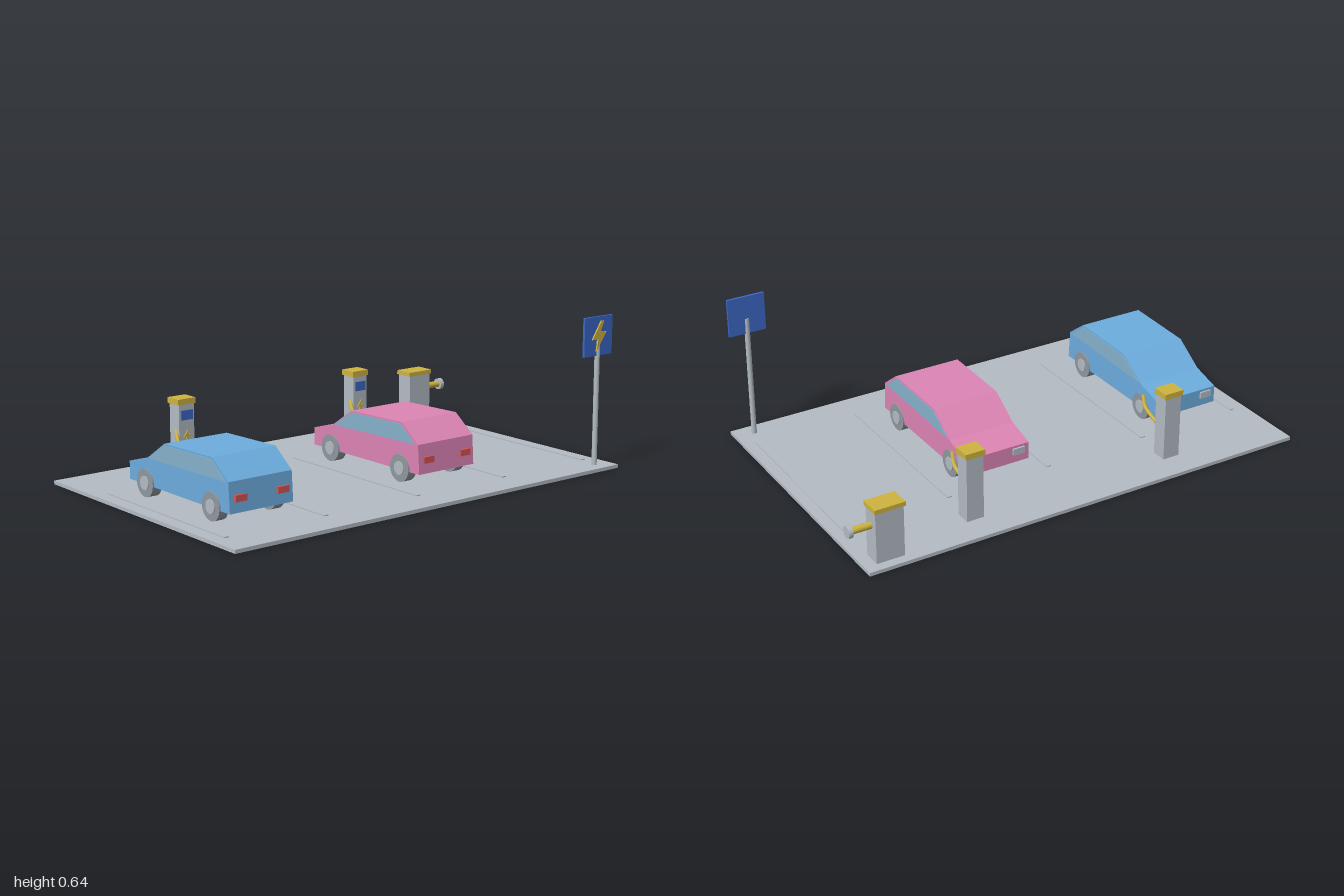
import * as THREE from 'three';

const mat = (name, color) => {
  const m = new THREE.MeshStandardMaterial({ color });
  m.name = name;
  return m;
};

export function createModel() {
  const grey = mat('light grey', 0xb3bbc3);
  const tyreGrey = mat('tyre grey', 0x8f989f);
  const yellow = mat('yellow', 0xcdb340);
  const blue = mat('sign blue', 0x3c67c6);
  const carBlue = mat('car blue', 0x6cacde);
  const carPink = mat('car pink', 0xdc84b4);
  const glass = mat('window blue', 0x86b2cc);
  const red = mat('tail light red', 0xd45555);

  const root = new THREE.Group();
  root.name = 'chargingStation';

  const add = (parent, name, geo, material, x = 0, y = 0, z = 0) => {
    const mesh = new THREE.Mesh(geo, material);
    mesh.name = name;
    mesh.position.set(x, y, z);
    parent.add(mesh);
    return mesh;
  };
  // box given by its limits on each axis
  const box = (parent, name, m, x0, x1, y0, y1, z0, z1) =>
    add(parent, name, new THREE.BoxGeometry(x1 - x0, y1 - y0, z1 - z0), m,
      (x0 + x1) / 2, (y0 + y1) / 2, (z0 + z1) / 2);
  // cylinder lying along x
  const rod = (parent, name, m, r, x0, x1, y, z) =>
    add(parent, name, new THREE.CylinderGeometry(r, r, x1 - x0, 32).rotateZ(Math.PI / 2), m, (x0 + x1) / 2, y, z);
  const shapeOf = pts => new THREE.Shape(pts.map(p => new THREE.Vector2(...p)));
  // side profile of (z, y) points, extruded across x and centred
  const across = (pts, width) =>
    new THREE.ExtrudeGeometry(shapeOf(pts), { depth: width, bevelEnabled: false })
      .rotateY(-Math.PI / 2).translate(width / 2, 0, 0);
  // lightning bolt plate, centred, facing +z
  const bolt = (w, h, depth) =>
    new THREE.ExtrudeGeometry(shapeOf([
      [0.12, 0.5], [-0.5, -0.1], [-0.08, -0.1], [-0.2, -0.5], [0.5, 0.13], [0.06, 0.13], [0.32, 0.5],
    ].map(([x, y]) => [x * w, y * h])), { depth, bevelEnabled: false });

  // ground slab with raised bay lines
  const ground = 0.015;
  box(root, 'groundSlab', grey, -1, 0.95, 0, ground, -0.62, 0.617);
  for (let i = 0; i < 5; i++) {
    const x = -0.935 + i * 0.457;
    box(root, 'bayLine', grey, x - 0.01, x + 0.01, ground, 0.019, -0.31, 0.475);
  }

  // car: rear faces +z
  const bodyProfile = [
    [0.385, 0.067], [0.377, 0.187], [0.277, 0.262], [-0.037, 0.254],
    [-0.163, 0.172], [-0.284, 0.14], [-0.284, 0.067],
  ];
  const windowProfile = [[0.36, 0.186], [0.27, 0.255], [-0.037, 0.247], [-0.148, 0.176]];
  const makeCar = (x, paint) => {
    const car = new THREE.Group();
    car.name = 'car';
    car.position.x = x;
    root.add(car);
    add(car, 'body', across(bodyProfile, 0.29), paint);
    for (const s of [-1, 1]) {
      add(car, 'sideWindow', across(windowProfile, 0.004), glass, s * 0.1455);
      box(car, 'tailLight', red, s * 0.097 - 0.026, s * 0.097 + 0.026, 0.11, 0.136, 0.375, 0.392);
      box(car, 'headLight', grey, s * 0.097 - 0.026, s * 0.097 + 0.026, 0.102, 0.13, -0.292, -0.28);
      for (const z of [0.271, -0.17]) {
        rod(car, 'tyre', tyreGrey, 0.056, s * 0.13 - 0.021, s * 0.13 + 0.021, 0.074, z);
        rod(car, 'hub', grey, 0.028, s * 0.151 - 0.004, s * 0.151 + 0.004, 0.074, z);
      }
    }
  };

  // charger with screen, bolt, cap and hose
  const makeCharger = x => {
    const charger = new THREE.Group();
    charger.name = 'charger';
    charger.position.x = x;
    root.add(charger);
    box(charger, 'post', grey, -0.037, 0.037, ground, 0.288, -0.501, -0.435);
    box(charger, 'cap', yellow, -0.043, 0.043, 0.288, 0.312, -0.506, -0.432);
    box(charger, 'screen', blue, -0.028, 0.028, 0.224, 0.264, -0.436, -0.43);
    add(charger, 'bolt', bolt(0.034, 0.05, 0.004), yellow, 0, 0.157, -0.435);
    const path = new THREE.CatmullRomCurve3([
      [-0.034, 0.18, -0.462], [-0.046, 0.147, -0.433], [-0.058, 0.085, -0.38], [-0.064, 0.067, -0.32],
      [-0.07, 0.074, -0.26], [-0.073, 0.094, -0.212], [-0.08, 0.134, -0.186],
    ].map(p => new THREE.Vector3(...p)));
    add(charger, 'hose', new THREE.TubeGeometry(path, 40, 0.008, 12), yellow);
  };

  for (const [x, paint] of [[-0.71, carBlue], [0.205, carPink]]) {
    makeCar(x, paint);
    makeCharger(x + 0.228);
  }

  // supply cabinet with side pipe
  box(root, 'cabinet', grey, 0.782, 0.9, ground, 0.23, -0.58, -0.505);
  box(root, 'cabinetCap', yellow, 0.776, 0.905, 0.23, 0.248, -0.586, -0.5);
  rod(root, 'pipe', yellow, 0.014, 0.895, 0.985, 0.164, -0.542);
  rod(root, 'pipeFlange', grey, 0.025, 0.982, 1, 0.164, -0.542);

  // road sign
  add(root, 'signPost', new THREE.CylinderGeometry(0.011, 0.011, 0.525, 24), grey, 0.87, 0.2775, 0.558);
  box(root, 'signPanel', blue, 0.79, 0.95, 0.475, 0.637, 0.552, 0.563);
  add(root, 'signBolt', bolt(0.08, 0.125, 0.006), yellow, 0.87, 0.556, 0.563);

  return root;
}
